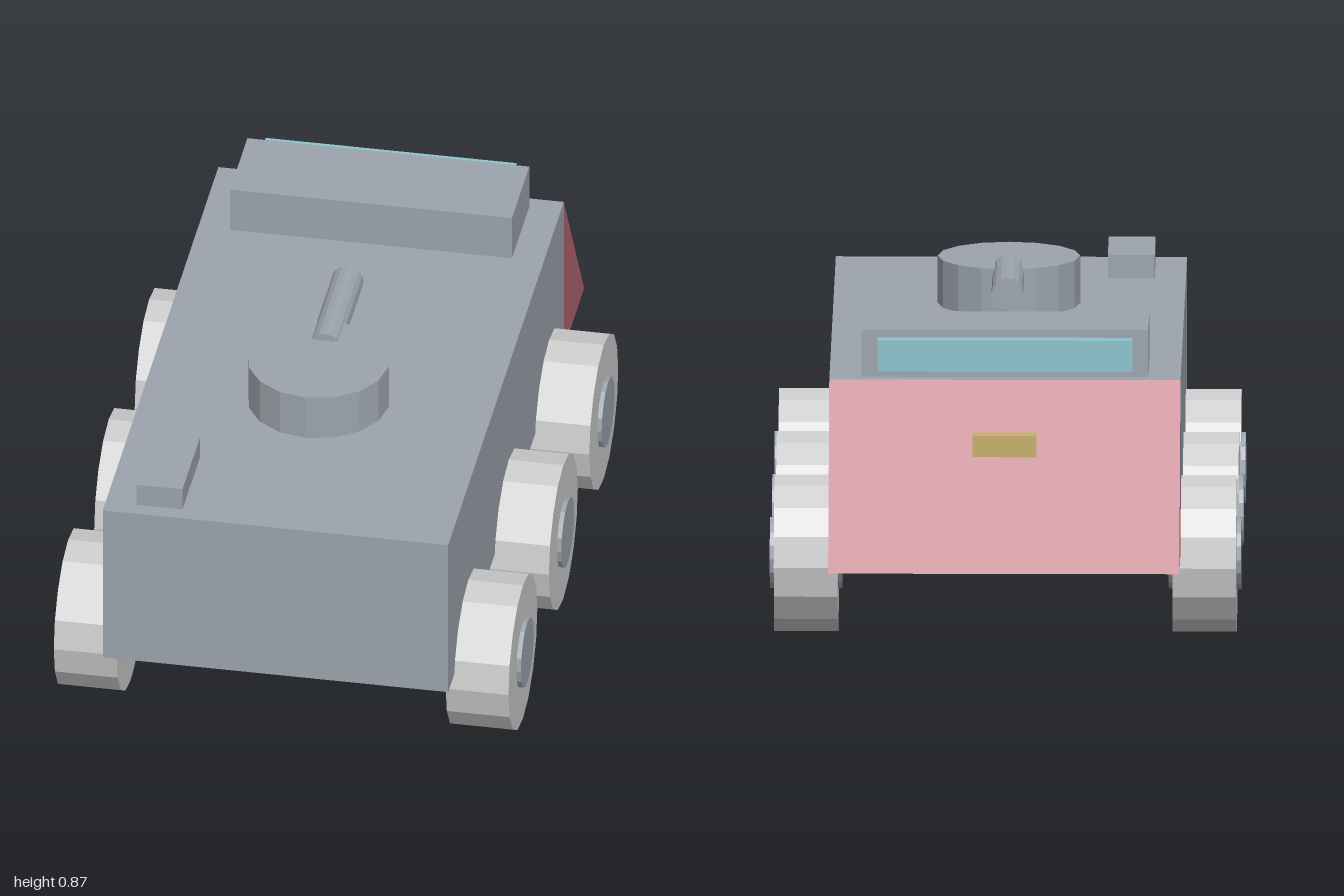
import * as THREE from 'three';

const paint = (name, color) => {
  const m = new THREE.MeshStandardMaterial({ color });
  m.name = name;
  return m;
};

export function createModel() {
  const grey = paint('armour grey', 0x9ca4ad);
  const pale = paint('wheel grey', 0xcccccc);
  const red = paint('nose red', 0xb36472);
  const blue = paint('window blue', 0x8cc4ce);
  const gold = paint('lamp gold', 0xc6af6a);

  const model = new THREE.Group();
  model.name = 'sixWheeledVehicle';

  const add = (name, geometry, material, x = 0, y = 0, z = 0) => {
    const mesh = new THREE.Mesh(geometry, material);
    mesh.name = name;
    mesh.position.set(x, y, z);
    model.add(mesh);
    return mesh;
  };

  // Box given by its lower and upper corner
  const box = (name, material, [x0, y0, z0], [x1, y1, z1]) =>
    add(name, new THREE.BoxGeometry(x1 - x0, y1 - y0, z1 - z0), material,
      (x0 + x1) / 2, (y0 + y1) / 2, (z0 + z1) / 2);

  // Faceted sixteen-sided drum
  const drum = (radius, length) => {
    const faceted = new THREE.CylinderGeometry(radius, radius, length, 16).toNonIndexed();
    faceted.computeVertexNormals();
    return faceted;
  };

  // Hull and the boxes on it
  box('hull', grey, [-0.468, 0.257, -0.7], [0.468, 0.725, 1]);
  box('cabin', grey, [-0.382, 0.725, -0.66], [0.382, 0.853, -0.405]);
  box('cabinWindow', blue, [-0.34, 0.747, -0.702], [0.34, 0.832, -0.655]);
  box('roofBox', grey, [-0.385, 0.725, 0.702], [-0.26, 0.789, 0.957]);
  box('noseLamp', gold, [-0.085, 0.54, -0.828], [0.085, 0.598, -0.743]);

  // Sloped nose: a triangle in (-z, y) extruded across the hull
  const profile = new THREE.Shape([
    new THREE.Vector2(0.7, 0.257),
    new THREE.Vector2(1, 0.257),
    new THREE.Vector2(0.7, 0.725),
  ]);
  const noseGeometry = new THREE.ExtrudeGeometry(profile, { depth: 0.936, bevelEnabled: false });
  noseGeometry.translate(0, 0, -0.468).rotateY(Math.PI / 2);
  add('nose', noseGeometry, red);

  // Turret and barrel
  add('turret', drum(0.19, 0.128), grey, 0, 0.789, 0.365);
  add('barrel', drum(0.0425, 0.335).rotateX(Math.PI / 2), grey, 0, 0.832, 0.105);

  // Three wheels with hubs on each side
  for (const side of [-1, 1]) {
    for (const z of [-0.485, 0.11, 0.705]) {
      add('wheel', drum(0.2125, 0.17).rotateZ(Math.PI / 2), pale, side * 0.531, 0.2125, z);
      add('wheelHub', drum(0.096, 0.193).rotateZ(Math.PI / 2), grey, side * 0.5315, 0.2125, z);
    }
  }

  return model;
}
